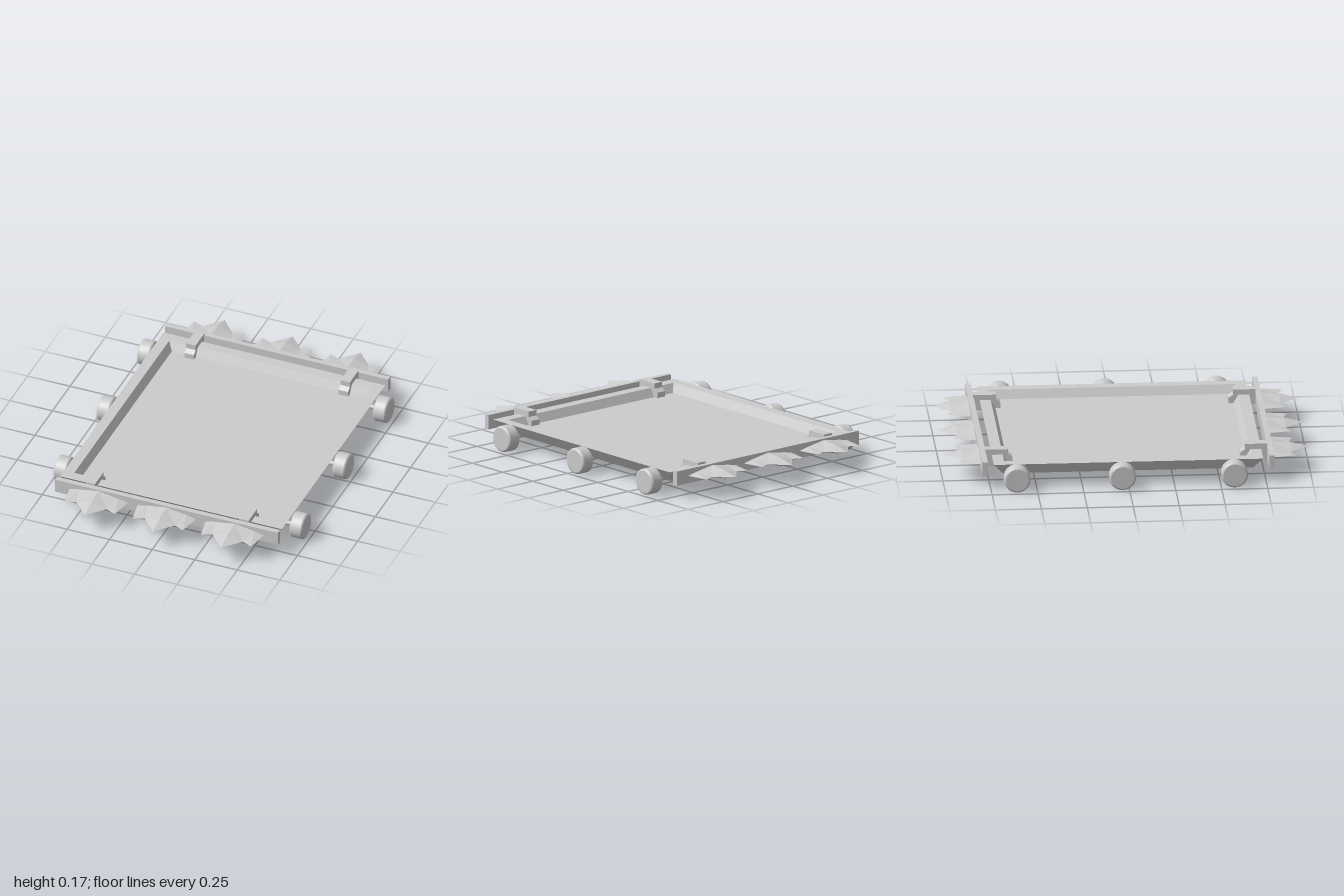
import * as THREE from 'three';

const flat = new THREE.MeshStandardMaterial({ color: 0xcccccc, flatShading: true });
const smooth = new THREE.MeshStandardMaterial({ color: 0xcccccc });

function add(parent, name, geometry, material = flat) {
  const mesh = new THREE.Mesh(geometry, material);
  mesh.name = name;
  parent.add(mesh);
  return mesh;
}

function facets(positions) {
  const g = new THREE.BufferGeometry();
  g.setAttribute('position', new THREE.Float32BufferAttribute(positions, 3));
  g.computeVertexNormals();
  return g;
}

// Shallow tray: rectangular rings [halfX, y, halfZ] joined from the underside to the sunken floor
function trayGeometry() {
  const rings = [[0.6, 0.07, 0.68], [0.651, 0.137, 0.733], [0.593, 0.137, 0.673], [0.567, 0.09, 0.647]]
    .map(([x, y, z]) => [[x, y, z], [x, y, -z], [-x, y, -z], [-x, y, z]]);
  const out = [];
  const quad = (a, b, c, d) => out.push(...a, ...b, ...c, ...a, ...c, ...d);
  for (let r = 0; r < 3; r++) {
    for (let i = 0; i < 4; i++) {
      const j = (i + 1) % 4;
      quad(rings[r][i], rings[r][j], rings[r + 1][j], rings[r + 1][i]);
    }
  }
  quad(...rings[3]);
  quad(...[...rings[0]].reverse());
  return facets(out);
}

// Three-pointed blade with a diamond section, one quarter mirrored in x and y
function spikeGeometry() {
  const B = [0.172, 0, 0], T = [0.147, 0, 0.125], N = [0.088, 0, 0.1], P = [0, 0, 0.2];
  const V = [0.115, 0.013, 0], C = [0, 0.031, 0], M = [0, 0.024, 0.1];
  const quarter = [[B, V, T], [T, V, N], [V, C, N], [N, C, M], [N, M, P]];
  const out = [];
  for (const sx of [1, -1]) for (const sy of [1, -1]) {
    for (const tri of quarter) {
      const t = tri.map(([x, y, z]) => [x * sx, y * sy, z]);
      const [a, b, c] = sx * sy < 0 ? [t[0], t[2], t[1]] : t;
      // pick the winding that faces away from the blade's middle plane
      const n = new THREE.Triangle(...[a, b, c].map(p => new THREE.Vector3(...p))).getNormal(new THREE.Vector3());
      out.push(...(n.y * sy > 0 ? [a, b, c] : [a, c, b]).flat());
    }
  }
  return facets(out);
}

// Clamp that hooks over the rim; profile is (z, y), extruded across x
function clampGeometry(width) {
  const s = new THREE.Shape([
    [0.768, 0.078], [0.768, 0.167], [0.645, 0.167], [0.645, 0.137],
    [0.62, 0.12], [0.62, 0.09], [0.69, 0.078],
  ].map(p => new THREE.Vector2(...p)));
  return new THREE.ExtrudeGeometry(s, { depth: width, bevelEnabled: false })
    .translate(0, 0, -width / 2).rotateY(-Math.PI / 2);
}

// Wheel with rounded shoulders, axis along x
function wheelGeometry() {
  const R = 0.072, w = 0.038, b = 0.01;
  const side = [[0, w], [R - b, w], [R - b, w], [R - 0.003, w - 0.003], [R, w - b], [R, w - b]];
  const profile = [...side.map(([r, y]) => [r, -y]), ...side.reverse()];
  return new THREE.LatheGeometry(profile.map(p => new THREE.Vector2(...p)), 32).rotateZ(Math.PI / 2);
}

export function createModel() {
  const model = new THREE.Group();
  add(model, 'tray', trayGeometry());

  // Matching front and back ends
  const spike = spikeGeometry(), clamp = clampGeometry(0.056);
  for (const [name, turn, clampXs] of [['front', 0, [-0.46, 0.442]], ['back', Math.PI, [-0.454, 0.452]]]) {
    const end = new THREE.Group();
    end.name = name + 'Bumper';
    end.rotation.y = turn;
    add(end, 'bumperPlate', new THREE.BoxGeometry(1.31, 0.08, 0.03)).position.set(0, 0.115, 0.781);
    for (const x of [-0.4, 0, 0.4]) add(end, 'spikes', spike).position.set(x, 0.116, 0.795);
    for (const x of clampXs) add(end, 'rimClamp', clamp).position.x = turn ? -x : x;
    model.add(end);
  }

  // Three axles with a wheel on each end
  const wheel = wheelGeometry();
  const axle = new THREE.CylinderGeometry(0.012, 0.012, 1.34, 16).rotateZ(Math.PI / 2);
  for (const z of [0.573, -0.037, -0.61]) {
    add(model, 'axle', axle, smooth).position.set(0, 0.069, z);
    for (const s of [-1, 1]) add(model, s > 0 ? 'leftWheel' : 'rightWheel', wheel, smooth).position.set(s * 0.693, 0.072, z);
  }
  return model;
}
